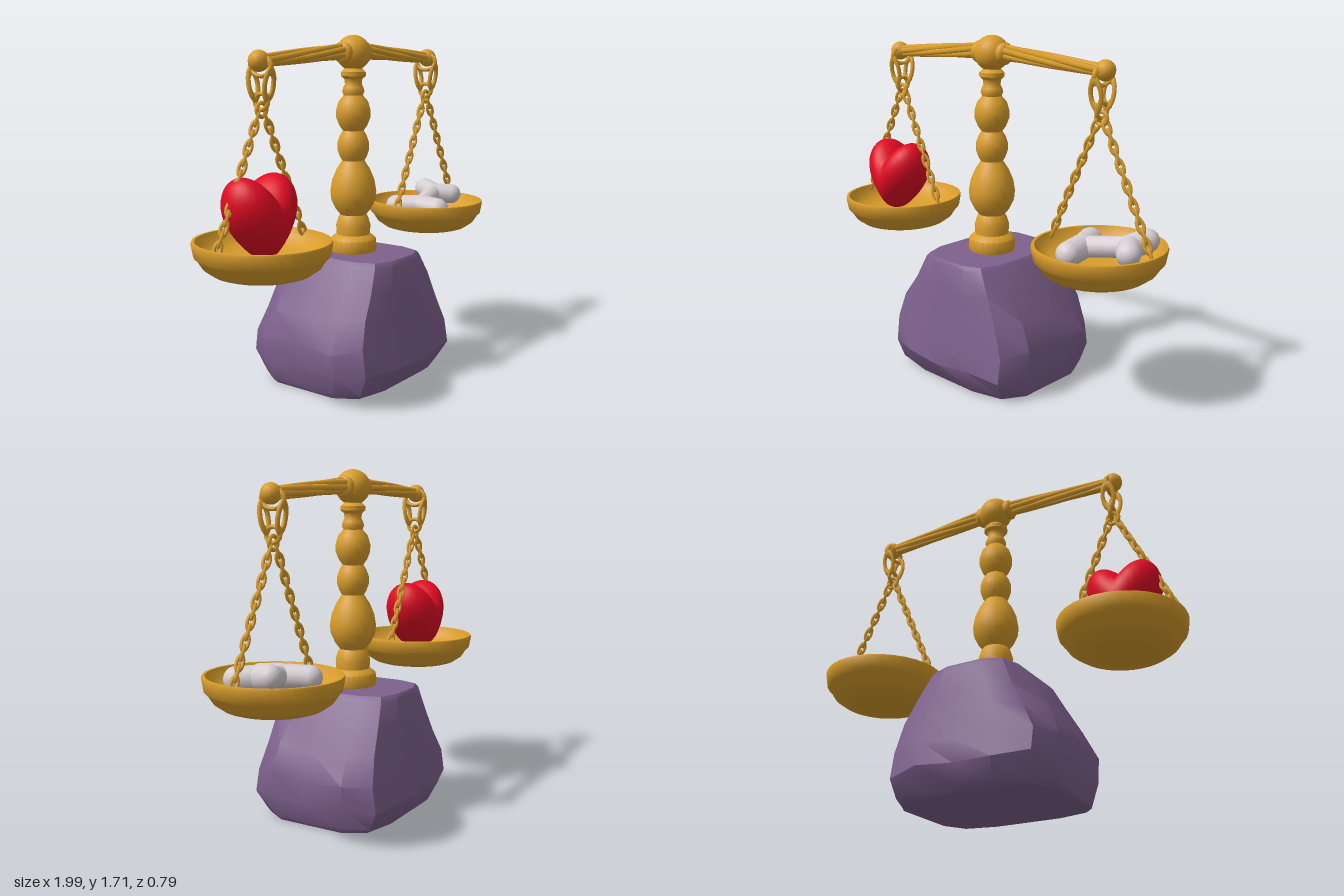
import * as THREE from 'three';
import { toCreasedNormals } from 'three/addons/utils/BufferGeometryUtils.js';

const V = (x, y, z) => new THREE.Vector3(x, y, z);
const material = (name, color) => {
  const m = new THREE.MeshStandardMaterial({ color });
  m.name = name;
  return m;
};

export function createModel() {
  const gold = material('gold', 0xd99d2b);
  const stone = material('purple stone', 0x7d608c);
  const red = material('heart red', 0xe00a23);
  const ivory = material('bone white', 0xd6ced2);
  const model = new THREE.Group();
  model.name = 'balanceScale';

  const add = (parent, name, geometry, mat, x = 0, y = 0, z = 0) => {
    const mesh = new THREE.Mesh(geometry, mat);
    mesh.name = name;
    mesh.position.set(x, y, z);
    parent.add(mesh);
    return mesh;
  };
  const group = (name, x = 0) => {
    const g = new THREE.Group();
    g.name = name;
    g.position.x = x;
    model.add(g);
    return g;
  };
  const lathe = (points, segments, crease) => toCreasedNormals(
    new THREE.LatheGeometry(points.map(p => new THREE.Vector2(...p)), segments), crease);

  // Rough boulder: rings of a chamfered outline, [y, half width, half depth]
  const outline = [[1, 0], [1, 0.54], [0.84, 0.88], [0.44, 1], [0, 1], [-0.44, 1], [-0.84, 0.88], [-1, 0.54],
    [-1, 0], [-1, -0.54], [-0.84, -0.88], [-0.44, -1], [0, -1], [0.44, -1], [0.84, -0.88], [1, -0.54]];
  const rings = [[0.008, 0, 0], [0.008, 0.4, 0.32], [0.03, 0.422, 0.345], [0.13, 0.445, 0.395],
    [0.25, 0.446, 0.375], [0.38, 0.385, 0.353], [0.5, 0.305, 0.335], [0.62, 0.232, 0.312], [0.638, 0.215, 0.3],
    [0.638, 0, 0]];
  const n = outline.length, pos = [], index = [];
  rings.forEach(([y, w, d], j) => outline.forEach(([x, z], i) => {
    const rough = j > 1 && j < 7 ? 1 - 0.018 * (1 + Math.sin(i * 2.3 + j * 1.9)) : 1;
    const lift = j > 2 && j < 7 ? 0.015 * Math.sin(i * 3.7 + j) : 0;
    pos.push(x * w * rough, y + lift, z * d * (1 + (rough - 1) * 0.5));
    if (j < rings.length - 1) {
      const a = j * n + i, b = a + n, k = (i + 1) % n;
      index.push(a, b, (j + 1) * n + k, a, (j + 1) * n + k, j * n + k);
    }
  }));
  const rock = new THREE.BufferGeometry();
  rock.setAttribute('position', new THREE.Float32BufferAttribute(pos, 3));
  rock.setIndex(index);
  add(model, 'boulderBase', toCreasedNormals(rock, 0.6), stone);

  // Turned column
  add(model, 'column', lathe([
    [0, 0.63], [0.112, 0.63], [0.12, 0.65], [0.116, 0.7], [0.1, 0.715], [0.085, 0.725], [0.088, 0.77],
    [0.076, 0.81], [0.066, 0.825], [0.09, 0.855], [0.112, 0.9], [0.117, 0.945], [0.108, 1.0], [0.085, 1.055],
    [0.056, 1.1], [0.068, 1.12], [0.08, 1.155], [0.08, 1.19], [0.068, 1.225], [0.052, 1.25], [0.07, 1.275],
    [0.086, 1.315], [0.087, 1.35], [0.074, 1.395], [0.048, 1.425], [0.056, 1.445], [0.05, 1.465], [0.042, 1.48],
    [0.045, 1.505], [0.062, 1.52], [0.062, 1.54], [0.045, 1.555], [0.045, 1.6]], 24, 0.75), gold);

  // Hub with a rounded collar on each side
  add(model, 'hub', new THREE.SphereGeometry(0.087, 24, 16), gold, 0, 1.633);
  const collar = lathe([[0, -0.108], [0.042, -0.105], [0.054, -0.09], [0.05, -0.07], [0.05, 0.07], [0.054, 0.09],
    [0.042, 0.105], [0, 0.108]], 20, 1).rotateZ(Math.PI / 2);
  add(model, 'hubCollar', collar, gold, 0, 1.635);

  // Beam arms: slowly twisted bundles of strands
  for (const s of [-1, 1]) {
    const arm = group(s < 0 ? 'rightArm' : 'leftArm');
    for (let k = 0; k < 6; k++) {
      const path = [];
      for (let i = 0; i <= 8; i++) {
        const t = i / 8, a = k * Math.PI / 3 + t * 1.6, r = 0.026 - 0.01 * t;
        path.push(V(s * (0.06 + 0.62 * t), 1.643 - 0.042 * t + r * Math.cos(a), r * Math.sin(a)));
      }
      add(arm, 'strand', new THREE.TubeGeometry(new THREE.CatmullRomCurve3(path), 16, 0.0155, 6), gold);
    }
    add(arm, 'armEnd', new THREE.SphereGeometry(0.048, 16, 12), gold, s * 0.685, 1.602);
  }

  // Oval link, upright in the xy plane
  const link = (w, l, tube) => new THREE.TorusGeometry(w, tube, 6, 14).scale(1, l / w, 1);
  const chainLink = link(0.0145, 0.029, 0.0078);
  const chain = (parent, from, to) => {
    const dir = to.clone().sub(from), count = 14;
    const turn = new THREE.Quaternion().setFromUnitVectors(V(0, 1, 0), dir.clone().normalize());
    for (let i = 0; i < count; i++) {
      const m = add(parent, 'chainLink', chainLink, gold);
      m.position.copy(from).addScaledVector(dir, (i + 0.5) / count);
      m.quaternion.copy(turn).multiply(
        new THREE.Quaternion().setFromAxisAngle(V(0, 1, 0), (i % 2 ? 1 : -1) * Math.PI / 4));
    }
  };

  // Hangers, chains and pans on both sides
  const panGeometry = lathe([[0, 0.65], [0.19, 0.65], [0.22, 0.66], [0.262, 0.69], [0.287, 0.73], [0.3, 0.742],
    [0.31, 0.8], [0.307, 0.81], [0.294, 0.81], [0.28, 0.772], [0.245, 0.74], [0.2, 0.722], [0.1, 0.712],
    [0, 0.71]], 32, 0.7).scale(1, 1, 1.05);
  for (const s of [-1, 1]) {
    const side = group(s < 0 ? 'rightPanSet' : 'leftPanSet', s * 0.685);
    const x = -s * 0.012;
    add(side, 'shackle', link(0.06, 0.045, 0.013), gold, x, 1.58).rotation.y = Math.PI / 2;
    for (const e of [-1, 1]) {
      add(side, 'hangerLink', link(0.029, 0.062, 0.011), gold, x, 1.5, e * 0.047).rotation.x = e * 0.17;
    }
    add(side, 'lowerLink', link(0.038, 0.035, 0.011), gold, x, 1.425).rotation.y = Math.PI / 2;
    add(side, 'ring', link(0.031, 0.031, 0.01), gold, x, 1.39);
    for (const e of [-1, 1]) chain(side, V(x + e * 0.02, 1.375, 0), V(e * 0.288, 0.795, 0));
    add(side, 'pan', panGeometry, gold);
  }

  // Heart: a sphere whose sides are lifted to make two lobes
  const heart = new THREE.SphereGeometry(1, 32, 24);
  const p = heart.attributes.position;
  for (let i = 0; i < p.count; i++) {
    const x = p.getX(i), y = p.getY(i), z = p.getZ(i);
    const lift = 0.115 * Math.sin(Math.abs(x) * Math.PI / 2) * (0.86 + 0.16 * y);
    p.setXYZ(i, x * 0.184, 0.887 + y * 0.158 + lift, z * 0.157);
  }
  add(model, 'heart', toCreasedNormals(heart, 0.8), red, -0.707, 0, 0.008);

  // Bone: shaft and four knobs, leaning up towards one rim
  const bone = group('bone');
  const rod = (name, a, b, r) => {
    const d = b.clone().sub(a);
    const m = add(bone, name, new THREE.CapsuleGeometry(r, d.length(), 6, 14), ivory);
    m.position.copy(a).addScaledVector(d, 0.5);
    m.quaternion.setFromUnitVectors(V(0, 1, 0), d.normalize());
  };
  const nearEnd = V(0.6, 0.785, 0.02), farEnd = V(0.83, 0.822, -0.03);
  rod('shaft', nearEnd, farEnd, 0.05);
  rod('knob', nearEnd, V(0.55, 0.782, -0.105), 0.058);
  rod('knob', nearEnd, V(0.608, 0.775, 0.13), 0.06);
  rod('knob', farEnd, V(0.865, 0.84, -0.115), 0.057);
  rod('knob', farEnd, V(0.882, 0.818, 0.052), 0.057);

  return model;
}
